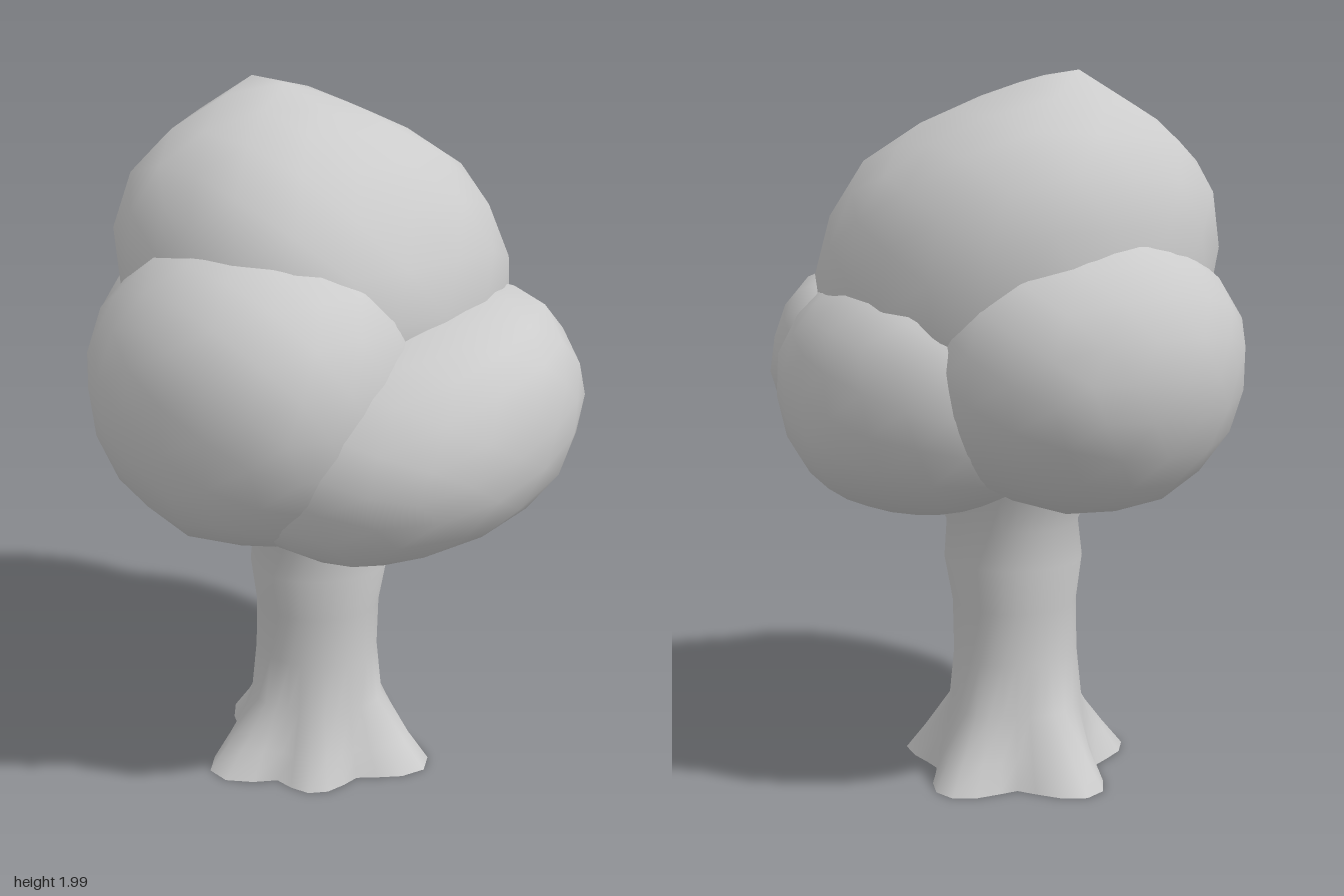
import * as THREE from 'three';
import { mergeVertices } from 'three/addons/utils/BufferGeometryUtils.js';

const material = new THREE.MeshStandardMaterial({ color: 0xcccccc });
const openMaterial = new THREE.MeshStandardMaterial({ color: 0xcccccc, side: THREE.DoubleSide });

// Weld shared corners so the shading runs smoothly over the surface
function smooth(geometry) {
  geometry.deleteAttribute('normal');
  geometry.deleteAttribute('uv');
  const welded = mergeVertices(geometry, 1e-4);
  welded.computeVertexNormals();
  return welded;
}

// Lumpy, slightly boxy ellipsoid of leaves. lean shifts the upper half in x and z,
// peak raises a tip, bend pulls the z ends inward in x, tilt turns about x and roll about z
function foliage(name, centre, radii, { seed, power = 2.2, lean = [0, 0], peak = 0, bend = 0, tilt = 0, roll = 0 }) {
  const geometry = new THREE.IcosahedronGeometry(1, 3);
  const p = geometry.attributes.position;
  const v = new THREE.Vector3();
  for (let i = 0; i < p.count; i++) {
    v.fromBufferAttribute(p, i).normalize();
    const lump = Math.sin(4.1 * v.x + seed) * Math.sin(3.7 * v.y + 2 * seed) * Math.sin(4.3 * v.z + 3 * seed);
    const ripple = Math.sin(9 * v.x + seed) * Math.cos(8 * v.z + 5 * v.y);
    const box = (Math.abs(v.x) ** power + Math.abs(v.y) ** power + Math.abs(v.z) ** power) ** (-1 / power);
    const r = box * (1 + 0.03 * lump + 0.012 * ripple);
    const up = Math.max(0, v.y);
    const tip = peak * up * Math.exp(-12 * ((v.x + 0.22) ** 2 + v.z ** 2));
    p.setXYZ(
      i,
      v.x * r * radii[0] + lean[0] * up - bend * v.z * v.z,
      v.y * r * radii[1] + tip,
      v.z * r * radii[2] + lean[1] * up
    );
  }
  const mesh = new THREE.Mesh(smooth(geometry), material);
  mesh.name = name;
  mesh.position.set(...centre);
  mesh.rotation.set(tilt, 0, roll);
  return mesh;
}

// Root tips on the ground, as x and z
const roots = [[0.33, -0.16], [0.21, 0.2], [-0.05, 0.37], [-0.35, 0.02], [-0.11, -0.31]];
// Trunk profile: height and radius
const profile = [[0, 0.22], [0.08, 0.205], [0.2, 0.19], [0.35, 0.18], [0.5, 0.18], [0.63, 0.2], [0.74, 0.19], [0.84, 0.24], [0.95, 0.27]];

// Radius at a given angle, with the roots swelling toward the ground
function trunkRadius(angle, height, radius) {
  const flare = Math.max(0, 1 - height / 0.22);
  let swell = 0;
  for (const [x, z] of roots) {
    const turn = angle - Math.atan2(z, x);
    const d = Math.atan2(Math.sin(turn), Math.cos(turn));
    swell = Math.max(swell, (Math.hypot(x, z) - 0.22) * Math.exp(-d * d * 5));
  }
  return radius * (1 + 0.03 * Math.sin(3 * angle + 5 * height)) + swell * flare;
}

// Hollow trunk, open at the ground
function buildTrunk() {
  const sides = 32;
  const positions = [], indices = [];
  profile.forEach(([y, radius], row) => {
    for (let i = 0; i < sides; i++) {
      const a = (i / sides) * Math.PI * 2;
      const r = trunkRadius(a, y, radius);
      positions.push(Math.cos(a) * r - 0.005, y, Math.sin(a) * r);
      if (row > 0) {
        const j = (i + 1) % sides, low = (row - 1) * sides, high = row * sides;
        indices.push(low + i, high + i, low + j, low + j, high + i, high + j);
      }
    }
  });
  const geometry = new THREE.BufferGeometry();
  geometry.setAttribute('position', new THREE.Float32BufferAttribute(positions, 3));
  geometry.setIndex(indices);
  geometry.computeVertexNormals();
  const trunk = new THREE.Mesh(geometry, openMaterial);
  trunk.name = 'trunk';
  return trunk;
}

export function createModel() {
  const tree = new THREE.Group();
  tree.name = 'tree';
  tree.add(
    buildTrunk(),
    foliage('crownFoliage', [-0.06, 1.45, -0.04], [0.525, 0.495, 0.54], { seed: 1.3, lean: [-0.07, 0.05], peak: 0.07 }),
    foliage('frontFoliage', [0.05, 1.225, 0.27], [0.485, 0.42, 0.41], { seed: 2.1, lean: [0.03, 0] }),
    foliage('leftFoliage', [0.37, 1.14, -0.05], [0.375, 0.31, 0.545], { seed: 0.7, tilt: 0.25, bend: 0.12 }),
    foliage('rightFoliage', [-0.37, 1.215, -0.02], [0.375, 0.385, 0.46], { seed: 3.4, power: 2.05, bend: -0.03 }),
    foliage('backFoliage', [0, 1.15, -0.29], [0.42, 0.355, 0.395], { seed: 4.6, roll: -0.12 })
  );
  return tree;
}
